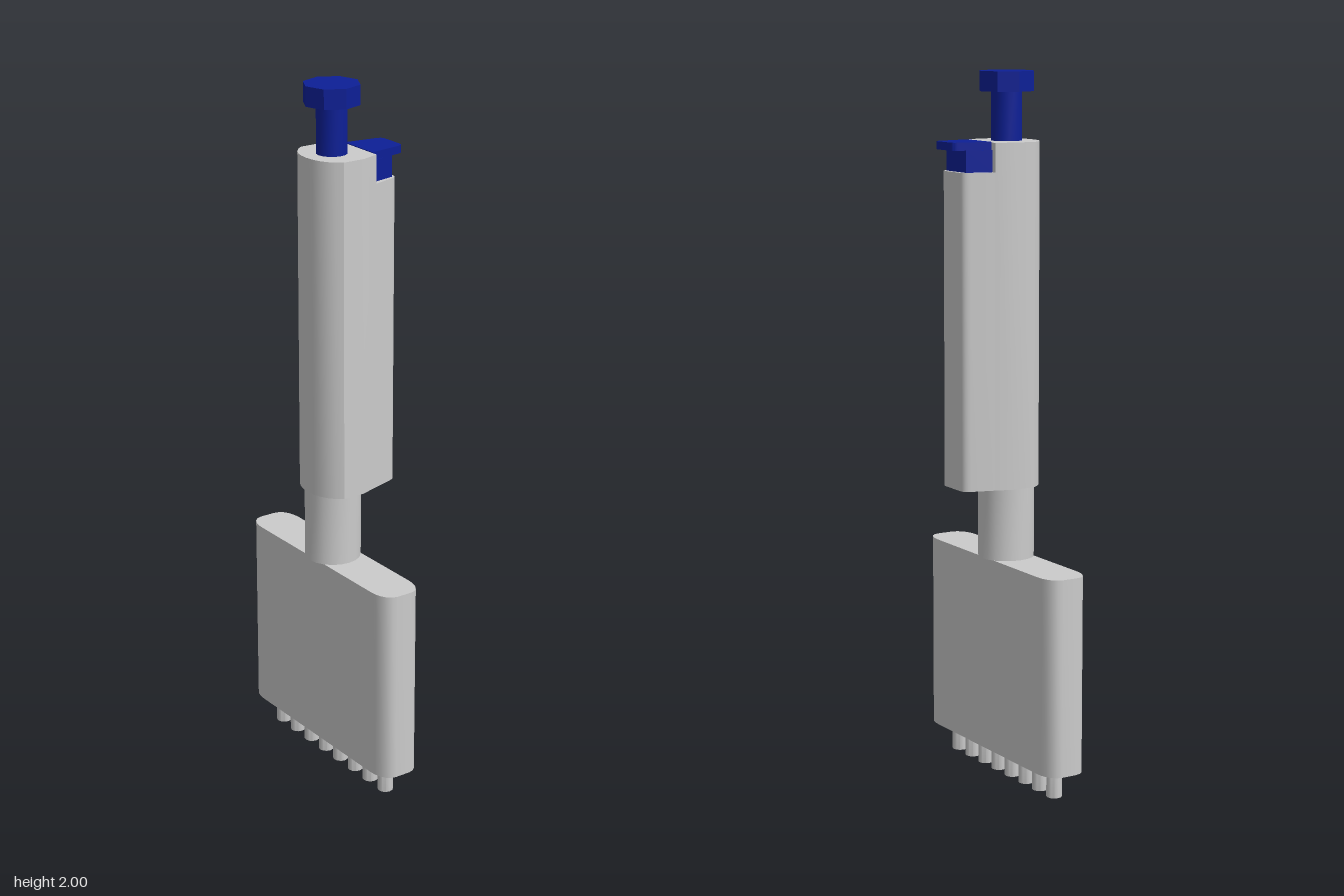
import * as THREE from 'three';
import { toCreasedNormals } from 'three/addons/utils/BufferGeometryUtils.js';

const grey = new THREE.MeshStandardMaterial({ color: 0xcccccc });
const blue = new THREE.MeshStandardMaterial({ color: 0x0d1f96 });
const AXIS_Z = 0.057;

export function createModel() {
  const model = new THREE.Group();

  const add = (name, geometry, material, x = 0, y = 0, z = 0) => {
    const mesh = new THREE.Mesh(geometry, material);
    mesh.name = name;
    mesh.position.set(x, y, z);
    model.add(mesh);
    return mesh;
  };

  // Upright prism from a mirrored plan: draw(shape, s) traces one half, in x and -z
  const prism = (name, half, y0, y1, material) => {
    const right = half.getPoints(5);
    const left = right.filter(p => p.x > 1e-4).reverse().map(p => new THREE.Vector2(-p.x, p.y));
    const geometry = new THREE.ExtrudeGeometry(new THREE.Shape([...right, ...left]), {
      depth: y1 - y0, bevelEnabled: false,
    });
    geometry.rotateX(-Math.PI / 2);
    return add(name, toCreasedNormals(geometry, 0.5), material, 0, y0, 0);
  };
  const path = (x, z) => new THREE.Path().moveTo(x, -z);

  const cylinder = (name, radius, y0, y1, sides, material) => add(
    name, toCreasedNormals(new THREE.CylinderGeometry(radius, radius, y1 - y0, sides), 0.6),
    material, 0, (y0 + y1) / 2, AXIS_Z);

  // Wide manifold with rounded ends
  prism('manifold', path(0, 0.12)
    .lineTo(0.27, -0.12)
    .bezierCurveTo(0.305, -0.12, 0.337, -0.105, 0.337, -0.078)
    .lineTo(0.337, -0.032)
    .bezierCurveTo(0.337, -0.005, 0.305, 0.01, 0.27, 0.01)
    .lineTo(0, 0.01), 0.08, 0.64, grey);

  // Row of eight hollow nozzles
  const nozzleProfile = [[0.014, 0.085], [0.014, 0], [0.022, 0], [0.022, 0.085]]
    .map(([r, y]) => new THREE.Vector2(r, y));
  const nozzle = toCreasedNormals(new THREE.LatheGeometry(nozzleProfile, 12), 0.7);
  const nozzleMaterial = grey.clone();
  nozzleMaterial.side = THREE.DoubleSide;
  for (let i = 0; i < 8; i++) {
    add('nozzle' + (i + 1), nozzle, nozzleMaterial, (i - 3.5) * 0.0735, 0, AXIS_Z);
  }

  // Neck between manifold and handle
  cylinder('neck', 0.079, 0.64, 0.86, 20, grey);

  // Handle: full-height front and a lower, tapering back
  prism('handleFront', path(0, 0.141)
    .bezierCurveTo(0.045, -0.141, 0.08, -0.122, 0.1, -0.088)
    .lineTo(0.1, -0.022)
    .lineTo(0.083, 0.03)
    .lineTo(0, 0.03), 0.85, 1.81, grey);
  prism('handleBack', path(0, -0.03)
    .lineTo(0.083, 0.03)
    .lineTo(0.064, 0.095)
    .quadraticCurveTo(0.058, 0.116, 0.04, 0.116)
    .lineTo(0, 0.116), 0.85, 1.73, grey);

  // Tip ejector: block topped by an overhanging thumb plate
  prism('ejectorBlock', path(0, -0.03)
    .lineTo(0.068, 0.03)
    .lineTo(0.052, 0.104)
    .lineTo(0, 0.104), 1.73, 1.79, blue);
  prism('ejectorPlate', path(0, -0.03)
    .lineTo(0.064, 0.03)
    .lineTo(0.051, 0.122)
    .quadraticCurveTo(0.048, 0.143, 0.034, 0.143)
    .lineTo(0, 0.143), 1.79, 1.812, blue);

  // Plunger rod and octagonal knob
  cylinder('plungerRod', 0.043, 1.8, 1.95, 16, blue);
  cylinder('plungerKnob', 0.079, 1.945, 2, 8, blue).rotation.y = -0.09;

  return model;
}
